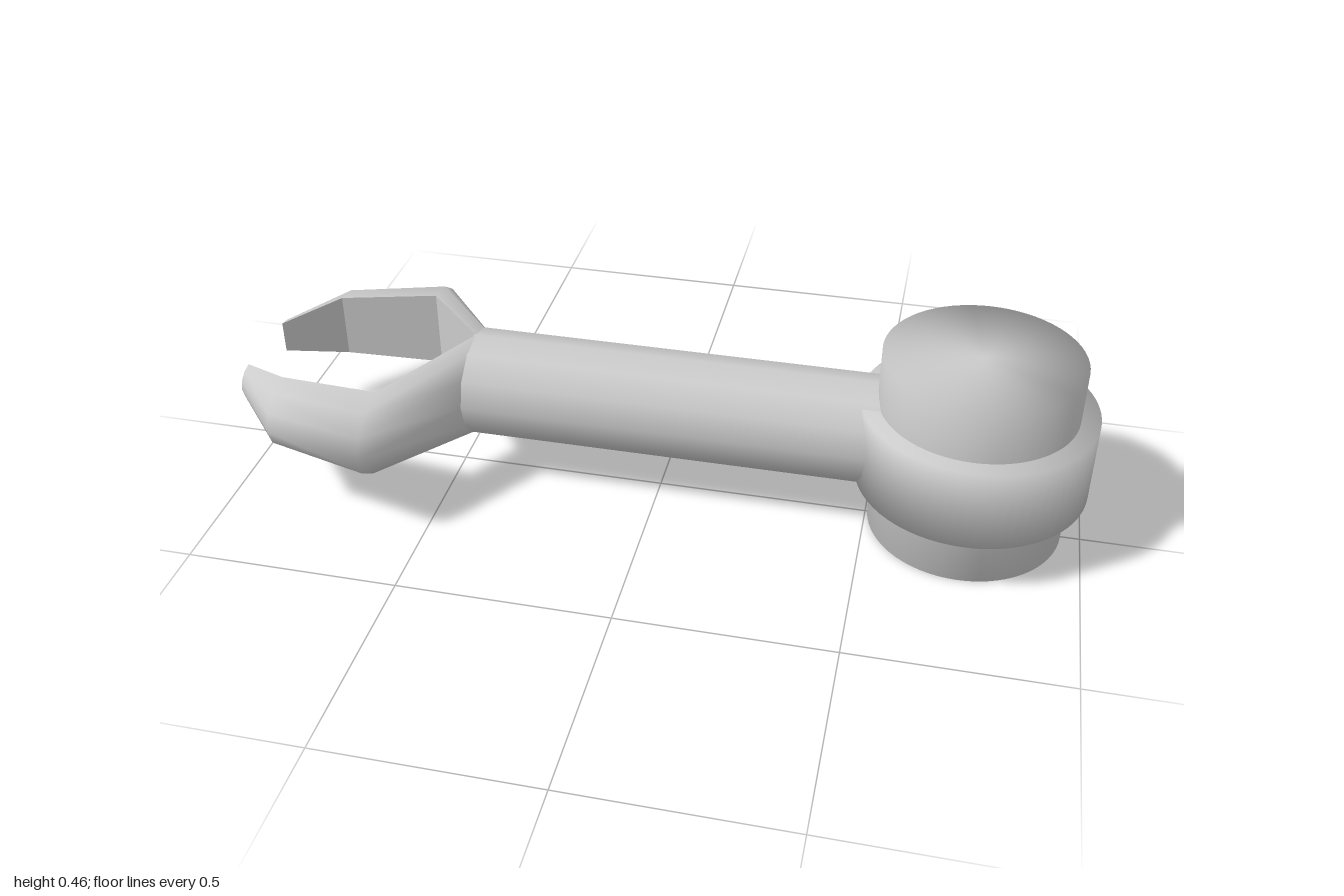
import * as THREE from 'three';
import { mergeVertices } from 'three/addons/utils/BufferGeometryUtils.js';

const MID_Y = 0.227, AXIS_Z = -0.018;
const material = new THREE.MeshStandardMaterial({ color: 0xcccccc });

function addMesh(parent, name, geometry) {
  const mesh = new THREE.Mesh(geometry, material);
  mesh.name = name;
  parent.add(mesh);
  return mesh;
}

// Cylinder with normals shared between wall and caps, for soft shading
function softCylinder(radius, height, sides) {
  const geo = new THREE.CylinderGeometry(radius, radius, height, sides);
  geo.deleteAttribute('normal');
  geo.deleteAttribute('uv');
  const merged = mergeVertices(geo);
  merged.computeVertexNormals();
  return merged;
}

function indexedGeometry(points, index) {
  const geo = new THREE.BufferGeometry();
  geo.setAttribute('position', new THREE.Float32BufferAttribute(points, 3));
  geo.setIndex(index);
  return geo;
}

// One claw finger: half-round sections, rounded outside and flat inside
function createFinger(name, side, sections) {
  const finger = new THREE.Group();
  finger.name = name;
  const SEG = 6, ROW = SEG + 1;
  const points = [], outer = [], flat = [];
  const tri = (list, a, b, c) => (side < 0 ? list.push(a, b, c) : list.push(a, c, b));

  for (const [ix, iz, ox, oz, h] of sections) {
    for (let j = 0; j <= SEG; j++) {
      const a = (j / SEG) * Math.PI, s = Math.sin(a);
      points.push(ix + (ox - ix) * s, MID_Y + h * Math.cos(a), iz + (oz - iz) * s);
    }
  }
  for (let i = 0; i < sections.length - 1; i++) {
    const p = i * ROW, q = p + ROW;
    // Rounded outside
    for (let j = 0; j < SEG; j++) {
      tri(outer, p + j, p + j + 1, q + j);
      tri(outer, p + j + 1, q + j + 1, q + j);
    }
    // Flat gripping face
    tri(flat, p, q, p + SEG);
    tri(flat, q, q + SEG, p + SEG);
  }
  // Blunt tip
  const tip = (sections.length - 1) * ROW;
  for (let j = 1; j < SEG; j++) tri(flat, tip, tip + j, tip + j + 1);

  const outerGeo = indexedGeometry(points, outer);
  outerGeo.computeVertexNormals();
  addMesh(finger, 'fingerShell', outerGeo);

  const flatGeo = indexedGeometry(points, flat).toNonIndexed();
  flatGeo.computeVertexNormals();
  addMesh(finger, 'fingerGrip', flatGeo);
  return finger;
}

export function createModel() {
  const model = new THREE.Group();
  model.name = 'clawArm';

  // Pivot joint: tall hub inside a wider collar
  const hub = addMesh(model, 'pivotHub', softCylinder(0.226, 0.455, 64));
  hub.position.set(0.73, 0.2275, AXIS_Z);
  const collar = addMesh(model, 'pivotCollar', softCylinder(0.268, 0.198, 64));
  collar.position.set(0.732, 0.228, AXIS_Z);

  // Straight arm from the claw base into the joint
  const armGeo = new THREE.CylinderGeometry(0.128, 0.128, 1.11, 12, 1, true);
  armGeo.rotateZ(Math.PI / 2);
  const arm = addMesh(model, 'arm', armGeo);
  arm.position.set(0.095, MID_Y, AXIS_Z);

  // Claw sections: inner x, inner z, outer x, outer z, half height
  model.add(createFinger('rearFinger', -1, [
    [-0.455, AXIS_Z, -0.46, AXIS_Z - 0.128, 0.128],
    [-0.63, -0.222, -0.633, -0.365, 0.098],
    [-0.87, -0.187, -0.872, -0.306, 0.081],
    [-1, -0.1, -1, -0.157, 0.04],
  ]));
  model.add(createFinger('frontFinger', 1, [
    [-0.455, AXIS_Z, -0.46, AXIS_Z + 0.128, 0.128],
    [-0.618, 0.225, -0.62, 0.36, 0.098],
    [-0.865, 0.188, -0.865, 0.298, 0.081],
    [-1, 0.095, -1, 0.146, 0.04],
  ]));

  return model;
}
